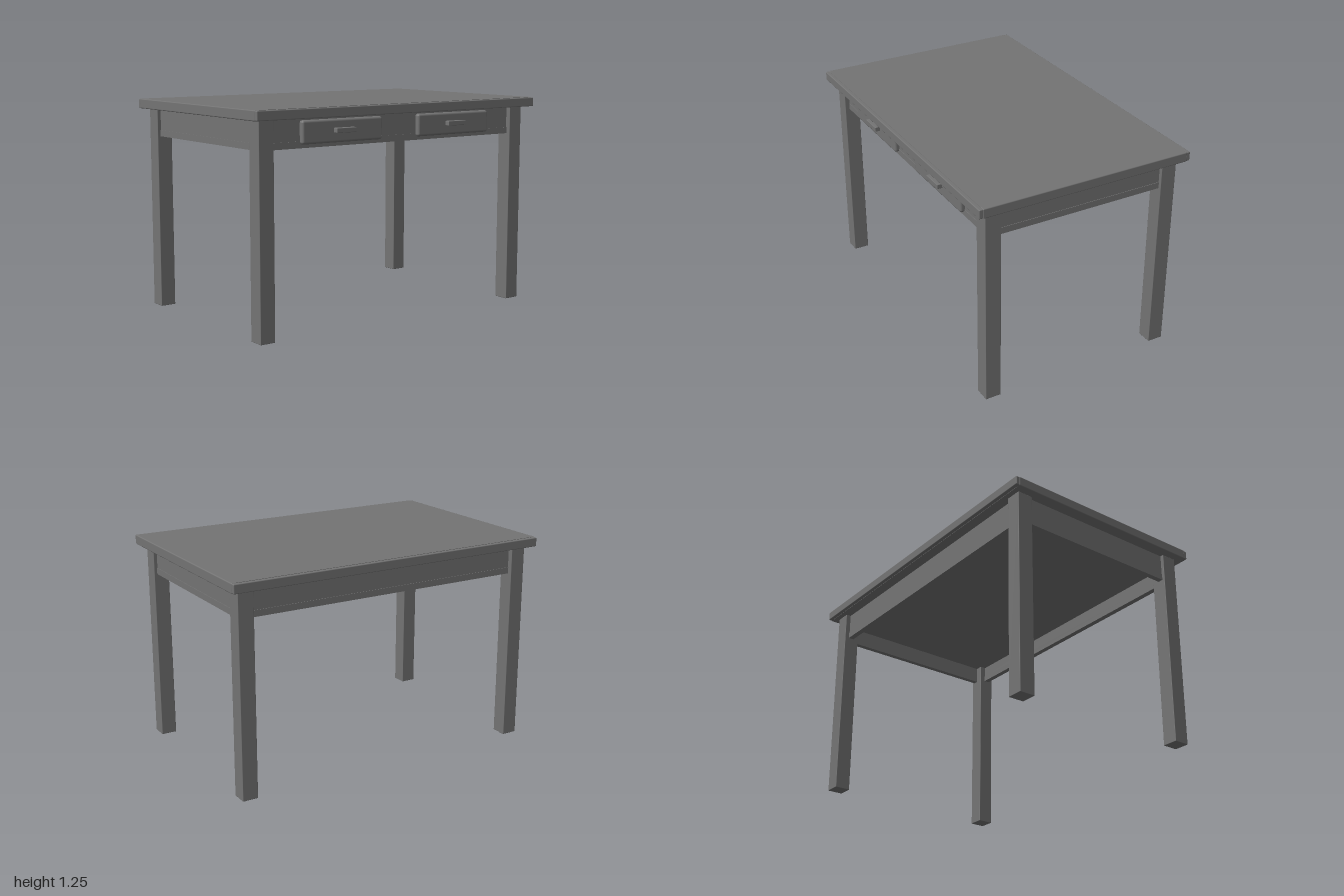
import * as THREE from 'three';
import { RoundedBoxGeometry } from 'three/addons/geometries/RoundedBoxGeometry.js';

const material = new THREE.MeshStandardMaterial({ color: 0x747474 });

// Box given by its extents along each axis, with optionally rounded edges
function block(parent, name, [x0, x1], [y0, y1], [z0, z1], radius = 0) {
  const size = [x1 - x0, y1 - y0, z1 - z0];
  const geometry = radius
    ? new RoundedBoxGeometry(...size, 2, radius)
    : new THREE.BoxGeometry(...size);
  const mesh = new THREE.Mesh(geometry, material);
  mesh.name = name;
  mesh.position.set((x0 + x1) / 2, (y0 + y1) / 2, (z0 + z1) / 2);
  parent.add(mesh);
}

// Extent measured outwards from the centre, mirrored to the given side
const sided = (side, a, b) => (side > 0 ? [a, b] : [-b, -a]);

export function createModel() {
  const table = new THREE.Group();
  table.name = 'table';

  // Table top with eased trim on all four edges
  const top = new THREE.Group();
  top.name = 'tableTop';
  table.add(top);
  block(top, 'topPanel', [-0.632, 0.632], [1.19, 1.247], [-0.972, 0.972]);
  for (const s of [-1, 1]) {
    block(top, 'endTrim', [-0.632, 0.632], [1.19, 1.247], sided(s, 0.965, 1), 0.006);
    block(top, 'sideTrim', sided(s, 0.628, 0.653), [1.192, 1.245], [-0.998, 0.998], 0.005);
  }

  // Base, set a hair off centre under the top
  const base = new THREE.Group();
  base.name = 'base';
  base.position.x = -0.0035;
  table.add(base);

  // Four square legs
  for (const sx of [-1, 1]) {
    for (const sz of [-1, 1]) {
      block(base, 'leg', sided(sx, 0.503, 0.597), [0, 1.192], sided(sz, 0.858, 0.951), 0.003);
    }
  }

  // Aprons with a slightly proud lower rail
  for (const s of [-1, 1]) {
    block(base, 'endApron', [-0.51, 0.51], [1.06, 1.192], sided(s, 0.905, 0.93));
    block(base, 'endRail', [-0.51, 0.51], [1.028, 1.065], sided(s, 0.902, 0.933));
    block(base, 'sideApron', sided(s, 0.54, 0.567), [1.06, 1.192], [-0.865, 0.865]);
    block(base, 'sideRail', sided(s, 0.537, 0.57), [1.028, 1.065], [-0.865, 0.865]);
  }

  // Closed underside between the aprons
  block(base, 'undersidePanel', [-0.545, 0.545], [1.13, 1.191], [-0.91, 0.91]);

  // Two drawer fronts with bar handles on the left side
  for (const z of [-0.404, 0.401]) {
    const drawer = new THREE.Group();
    drawer.name = 'drawer';
    base.add(drawer);
    block(drawer, 'drawerFront', [0.55, 0.594], [1.048, 1.177], [z - 0.272, z + 0.272], 0.014);
    block(drawer, 'drawerHandle', [0.585, 0.624], [1.102, 1.129], [z - 0.066, z + 0.066], 0.003);
  }

  return table;
}
